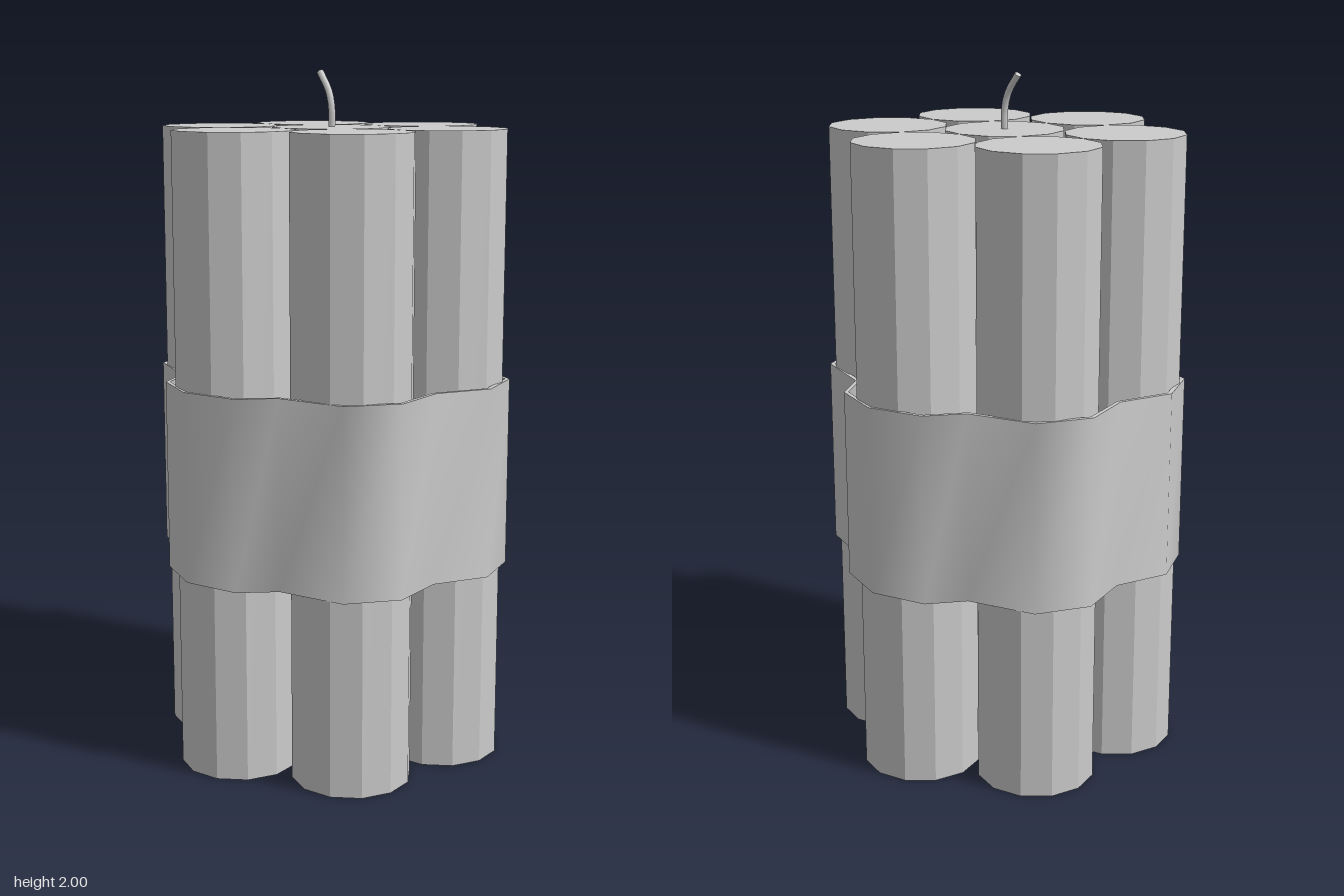
import * as THREE from 'three';
import { mergeGeometries } from 'three/addons/utils/BufferGeometryUtils.js';

const STICK_HEIGHT = 1.838, STICK_RADIUS = 0.173, RING_RADIUS = 0.348;
const BAND_BOTTOM = 0.575, BAND_TOP = 1.125;

// Mirror a quarter outline [x, z] (from the +x axis to the +z axis) into a closed loop
function fullLoop(quarter) {
  const half = [...quarter, ...quarter.slice(0, -1).reverse().map(([x, z]) => [-x, z])];
  return [...half, ...half.slice(1, -1).reverse().map(([x, z]) => [x, -z])];
}

// Closed strip of quads between two loops, smooth along its length
function strip(loopA, yA, loopB, yB) {
  const n = loopA.length, pos = [], index = [];
  loopA.forEach(([x, z]) => pos.push(x, yA, z));
  loopB.forEach(([x, z]) => pos.push(x, yB, z));
  for (let i = 0; i < n; i++) {
    const j = (i + 1) % n;
    index.push(i, n + i, j, j, n + i, n + j);
  }
  const g = new THREE.BufferGeometry();
  g.setAttribute('position', new THREE.Float32BufferAttribute(pos, 3));
  g.setIndex(index);
  g.computeVertexNormals();
  return g;
}

export function createModel() {
  const model = new THREE.Group();
  model.name = 'stickBundle';
  const smooth = new THREE.MeshStandardMaterial({ color: 0xcccccc });
  const faceted = new THREE.MeshStandardMaterial({ color: 0xcccccc, flatShading: true });

  // Seven twelve-sided sticks: one in the middle, six around it
  const stickGeometry = new THREE.CylinderGeometry(STICK_RADIUS, STICK_RADIUS, STICK_HEIGHT, 12);
  for (let i = 0; i < 7; i++) {
    const stick = new THREE.Mesh(stickGeometry, faceted);
    const r = i === 6 ? 0 : RING_RADIUS, a = i * Math.PI / 3;
    stick.position.set(r * Math.cos(a), STICK_HEIGHT / 2, r * Math.sin(a));
    stick.name = i === 6 ? 'centreStick' : 'outerStick' + (i + 1);
    model.add(stick);
  }

  // Band wrapped round the bundle, dipping between the sticks
  const outer = fullLoop([[0.53, 0], [0.48, 0.163], [0.379, 0.233], [0.312, 0.429], [0.164, 0.503], [0, 0.455]]);
  const inner = fullLoop([[0.519, 0], [0.469, 0.157], [0.367, 0.227], [0.302, 0.42], [0.161, 0.489], [0, 0.443]]);
  const band = new THREE.Mesh(mergeGeometries([
    strip(outer, BAND_BOTTOM, outer, BAND_TOP),
    strip(outer, BAND_TOP, inner, BAND_TOP),
    strip(inner, BAND_TOP, inner, BAND_BOTTOM),
    strip(inner, BAND_BOTTOM, outer, BAND_BOTTOM),
  ]), smooth);
  band.name = 'band';
  model.add(band);

  // Fuse bending towards the back, closed at its tip
  const path = new THREE.CatmullRomCurve3([
    [1.83, 0], [1.893, 0], [1.94, -0.014], [1.993, -0.053],
  ].map(([y, z]) => new THREE.Vector3(0, y, z)));
  const fuse = new THREE.Group();
  fuse.name = 'fuse';
  const cord = new THREE.Mesh(new THREE.TubeGeometry(path, 8, 0.01, 8), smooth);
  cord.name = 'fuseCord';
  const tip = new THREE.Mesh(new THREE.CircleGeometry(0.01, 8), smooth);
  tip.name = 'fuseTip';
  tip.position.copy(path.getPoint(1));
  tip.quaternion.setFromUnitVectors(new THREE.Vector3(0, 0, 1), path.getTangent(1));
  fuse.add(cord, tip);
  model.add(fuse);

  return model;
}
